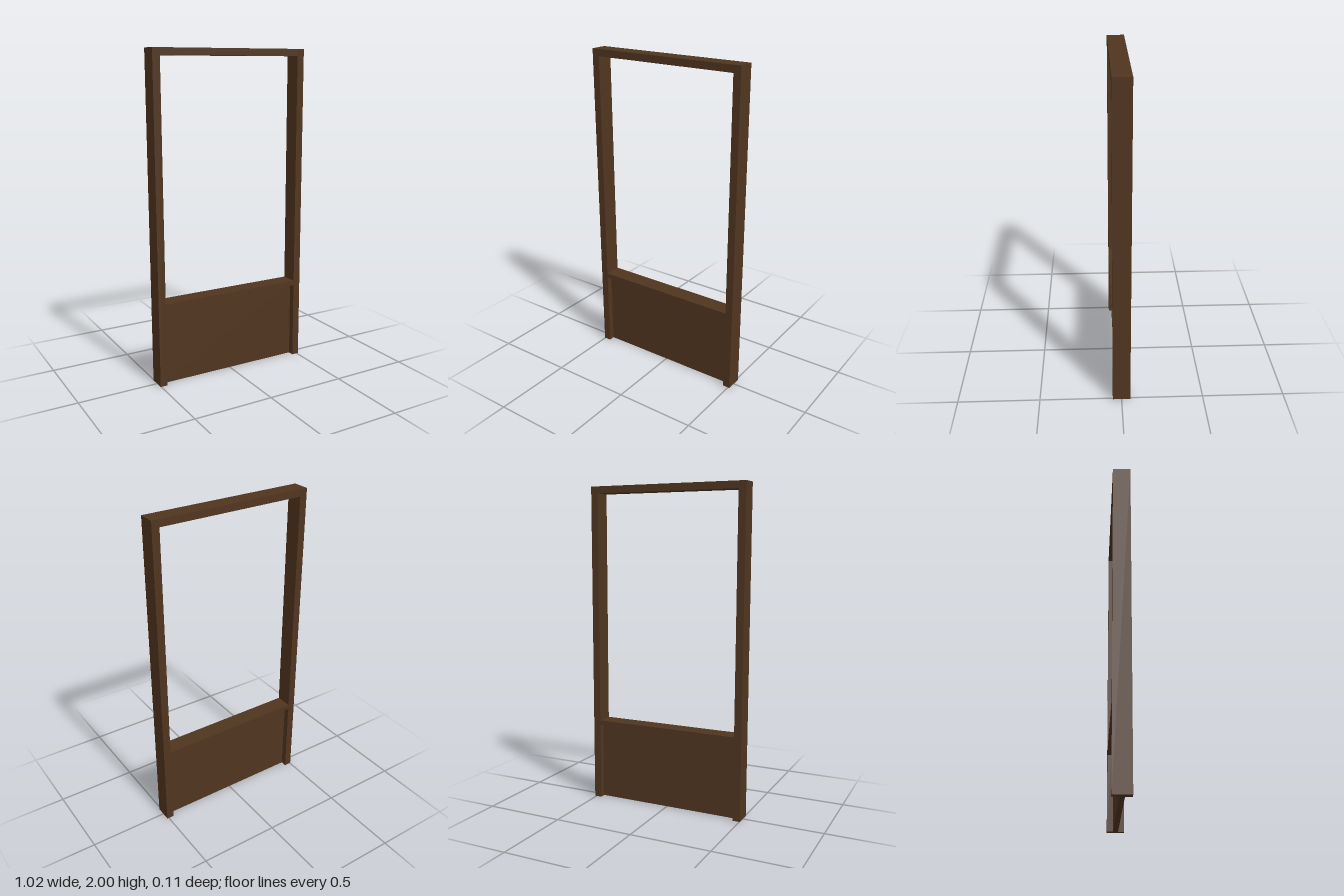
import * as THREE from 'three';

const DEPTH = 0.107;
const HEIGHT = 2;
const LEAN = 0.007; // the frame leans slightly towards -x at the top

export function createModel() {
  const group = new THREE.Group();
  const wood = new THREE.MeshStandardMaterial({ color: 0x50351f });
  const shift = (y) => LEAN * (0.5 - y / HEIGHT);

  // Adds a leaning board with the given extents and depth
  function board(name, x0, x1, y0, y1, depth) {
    const geometry = new THREE.BoxGeometry(x1 - x0, y1 - y0, depth);
    geometry.translate((x0 + x1) / 2, (y0 + y1) / 2, 0);
    const p = geometry.attributes.position;
    for (let i = 0; i < p.count; i++) p.setX(i, p.getX(i) + shift(p.getY(i)));
    geometry.computeVertexNormals();
    const mesh = new THREE.Mesh(geometry, wood);
    mesh.name = name;
    group.add(mesh);
  }

  const outer = 0.507, inner = 0.461, railBottom = 1.957;

  // Side posts and the top rail between them
  board('rightPost', -outer, -inner, 0, HEIGHT, DEPTH);
  board('leftPost', inner, outer, 0, HEIGHT, DEPTH);
  board('topRail', -inner, inner, railBottom, HEIGHT, DEPTH);

  // Sill over the recessed lower panel
  board('sill', -inner, inner, 0.488, 0.518, DEPTH);
  board('lowerPanel', -inner, inner, 0, 0.488, 0.03);

  return group;
}
